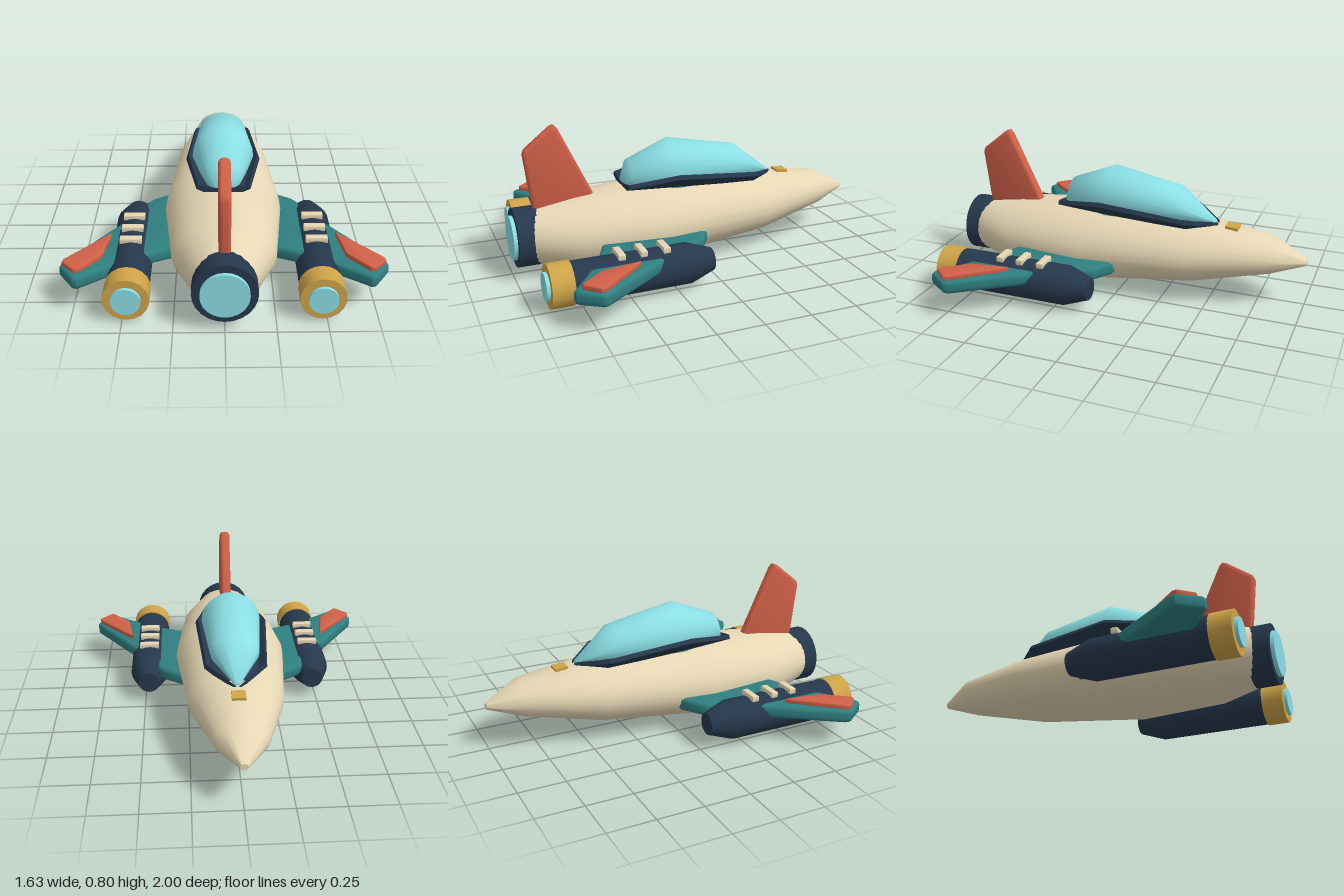
import * as THREE from 'three';
import { toCreasedNormals } from 'three/addons/utils/BufferGeometryUtils.js';

const paint = (color) => new THREE.MeshStandardMaterial({ color });
const CREAM = paint(0xe6d7b4), NAVY = paint(0x26384c), TEAL = paint(0x2f7f80);
const RED = paint(0xd06048), GOLD = paint(0xcfa448), GLASS = paint(0x8be0e6);

// Skin over rings of [x, y] points placed at increasing z, capped at both ends
function loft(sections, crease) {
  const pos = [], idx = [], n = sections[0].ring.length, last = sections.length - 1;
  for (const { z, ring } of sections) for (const [x, y] of ring) pos.push(x, y, z);
  for (let i = 0; i < last; i++) {
    for (let j = 0; j < n; j++) {
      const k = (j + 1) % n, a = i * n + j, b = i * n + k;
      idx.push(a, b, b + n, a, b + n, a + n);
    }
  }
  [0, last].forEach((i) => {
    const c = pos.length / 3, { z, ring } = sections[i];
    pos.push(0, ring.reduce((s, p) => s + p[1], 0) / n, z);
    for (let j = 0; j < n; j++) {
      const a = i * n + j, b = i * n + (j + 1) % n;
      if (i) idx.push(c, a, b); else idx.push(c, b, a);
    }
  });
  const g = new THREE.BufferGeometry();
  g.setAttribute('position', new THREE.Float32BufferAttribute(pos, 3));
  g.setIndex(idx);
  return toCreasedNormals(g, crease);
}

// Elliptical ring from half width, bottom and top
function ellipse(hw, y0, y1, n = 24) {
  return Array.from({ length: n }, (_, j) => {
    const t = (j / n) * Math.PI * 2;
    return [hw * Math.cos(t), (y0 + y1) / 2 + ((y1 - y0) / 2) * Math.sin(t)];
  });
}

// Bevelled slab of an outline, centred on its thickness
function slab(points, thick, bevel) {
  const shape = new THREE.Shape(points.map(([x, y]) => new THREE.Vector2(x, y)));
  const g = new THREE.ExtrudeGeometry(shape, {
    depth: thick - 2 * bevel, bevelEnabled: true, bevelThickness: bevel,
    bevelSize: bevel, bevelOffset: -bevel, bevelSegments: 3,
  });
  return toCreasedNormals(g.translate(0, 0, bevel - thick / 2), 0.6);
}

// Turned part along z from [radius, z] points
function turned(profile, segments) {
  const g = new THREE.LatheGeometry(profile.map(([r, z]) => new THREE.Vector2(r, z)), segments);
  return toCreasedNormals(g.rotateX(Math.PI / 2), 0.6);
}
const drum = (r, z0, z1, n) => turned([[0, z0], [r, z0], [r, z1], [0, z1]], n);

export function createModel() {
  const model = new THREE.Group();
  model.name = 'spaceship';
  const add = (name, geometry, material, parent = model) => {
    const mesh = new THREE.Mesh(geometry, material);
    mesh.name = name;
    parent.add(mesh);
    return mesh;
  };

  // Fuselage: z, half width, bottom, top
  const hull = [
    [-1, 0.02, 0.233, 0.267], [-0.81, 0.14, 0.17, 0.365], [-0.4, 0.255, 0.075, 0.415],
    [0.2, 0.315, 0.003, 0.445], [0.66, 0.265, 0.015, 0.4], [0.91, 0.155, 0.065, 0.36],
  ];
  add('fuselage', loft(hull.map(([z, w, b, t]) => ({ z, ring: ellipse(w, b, t) })), 0.7), CREAM);

  // Main engine
  add('mainEngine', drum(0.16, 0.86, 0.98, 24), NAVY).position.y = 0.21;
  add('mainEngineGlow', drum(0.12, 0.97, 1, 24), GLASS).position.y = 0.21;

  // Canopy frame: z, half width, bottom, top, with a dished upper face
  const frame = [
    [-0.51, 0.02, 0.385, 0.415], [-0.36, 0.165, 0.39, 0.455],
    [0.11, 0.2, 0.425, 0.505], [0.38, 0.14, 0.425, 0.465],
  ].map(([z, w, b, t]) => ({
    z,
    ring: [[w, t - 0.022], [w * 0.93, t], [w * 0.75, t - 0.025], [-w * 0.75, t - 0.025],
      [-w * 0.93, t], [-w, t - 0.022], [-w * 0.72, b], [w * 0.72, b]],
  }));
  add('canopyFrame', loft(frame, 0.4), NAVY);

  // Canopy glass
  const glass = [
    [-0.5, 0.015, 0.4, 0.42], [-0.29, 0.13, 0.38, 0.585], [0.1, 0.165, 0.34, 0.66],
    [0.34, 0.095, 0.4, 0.565], [0.375, 0.045, 0.41, 0.48],
  ];
  add('canopyGlass', loft(glass.map(([z, w, b, t]) => ({ z, ring: ellipse(w, b, t) })), 1.1), GLASS);

  // Nose marker
  const marker = add('noseMarker', new THREE.BoxGeometry(0.072, 0.03, 0.07), GOLD);
  marker.position.set(0, 0.389, -0.588);
  marker.rotation.x = -0.08;

  // Tail fin, outline in z and y
  const fin = slab([[0.53, 0.38], [0.72, 0.782], [0.74, 0.803], [0.765, 0.793], [0.9, 0.685],
    [0.91, 0.66], [0.87, 0.33], [0.55, 0.36]], 0.06, 0.022);
  add('tailFin', fin.rotateY(-Math.PI / 2), RED);

  // Wings and engine pods, mirrored
  for (const s of [1, -1]) {
    const side = new THREE.Group();
    side.name = s > 0 ? 'leftWingGroup' : 'rightWingGroup';
    model.add(side);
    const flat = (points, thick, bevel) =>
      slab(points.map(([x, z]) => [x * s, z]), thick, bevel).rotateX(Math.PI / 2);

    add('wing', flat([[0.2, -0.02], [0.29, -0.005], [0.39, 0.06], [0.42, 0.1], [0.425, 0.15],
      [0.55, 0.33], [0.81, 0.7], [0.815, 0.73], [0.74, 0.84], [0.715, 0.845], [0.56, 0.735],
      [0.4, 0.635], [0.2, 0.55]], 0.074, 0.022), TEAL, side).position.y = 0.176;
    add('wingPanel', flat([[0.58, 0.47], [0.6, 0.485], [0.795, 0.71], [0.8, 0.735], [0.735, 0.805],
      [0.715, 0.805], [0.62, 0.69], [0.608, 0.665]], 0.03, 0.01), RED, side).position.y = 0.223;

    const pod = new THREE.Group();
    pod.name = 'enginePod';
    pod.position.set(0.475 * s, 0.131, 0);
    side.add(pod);
    add('podBody', turned([[0, 0.05], [0.06, 0.05], [0.108, 0.185], [0.108, 0.81], [0, 0.81]], 20), NAVY, pod);
    add('podNozzle', drum(0.114, 0.8, 0.915, 18), GOLD, pod);
    add('podGlow', drum(0.073, 0.9, 0.933, 20), GLASS, pod);
    for (const z of [0.315, 0.435, 0.55]) {
      add('podStripe', slab([[-0.056, -0.018], [0.056, -0.018], [0.056, 0.018], [-0.056, 0.018]],
        0.032, 0.004).rotateX(Math.PI / 2), CREAM, pod).position.set(0, 0.112, z);
    }
  }
  return model;
}
